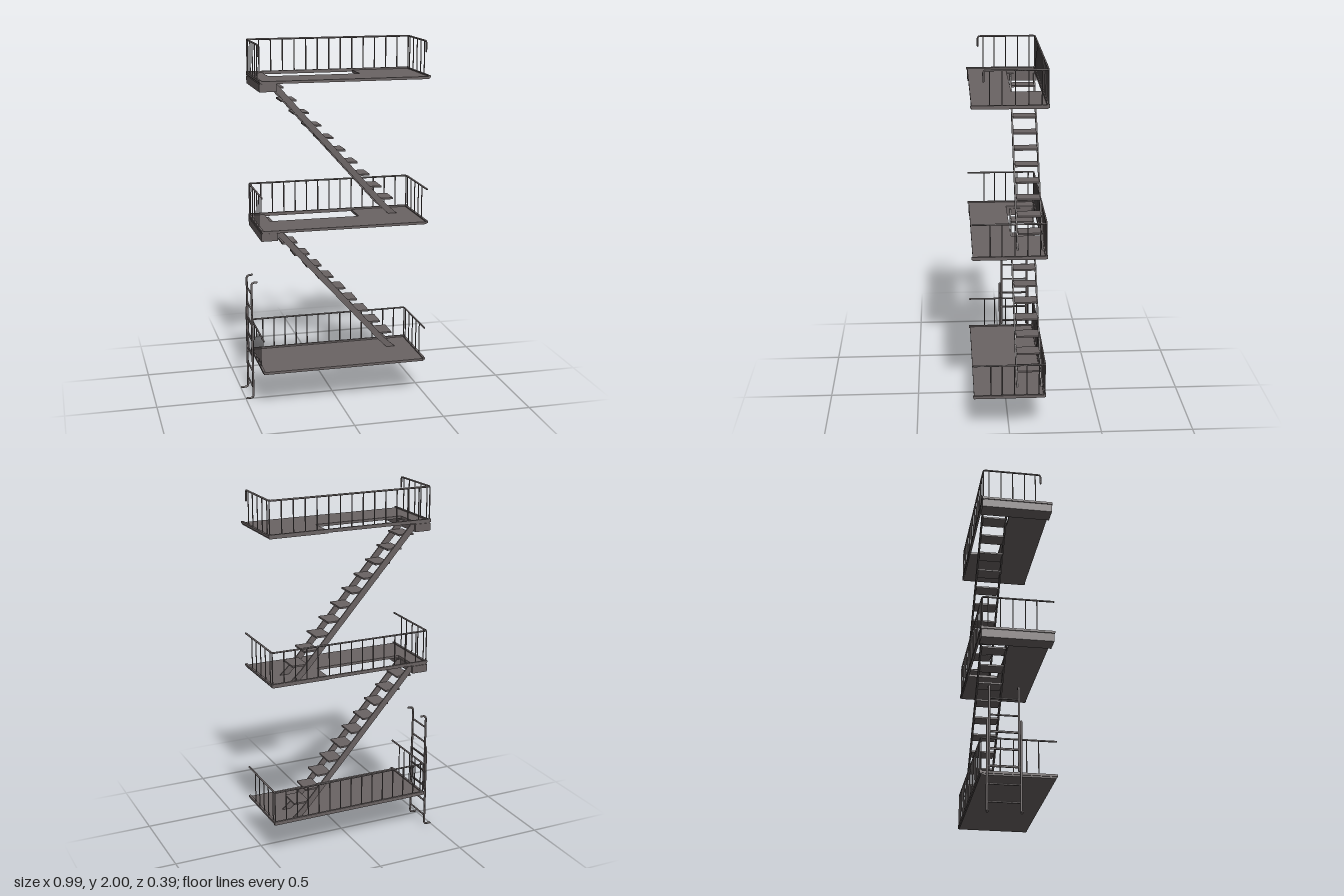
import * as THREE from 'three';

const metal = new THREE.MeshStandardMaterial({ color: 0x6a6363 });
const X0 = -0.428, X1 = 0.485, ZB = -0.19, ZF = 0.19;
const LEVELS = [0.21, 1.005, 1.8];
const V = (x, y, z) => new THREE.Vector3(x, y, z);

function add(parent, name, geometry, x = 0, y = 0, z = 0) {
  const mesh = new THREE.Mesh(geometry, metal);
  mesh.name = name;
  mesh.position.set(x, y, z);
  parent.add(mesh);
  return mesh;
}

// Straight round bar between two points
function bar(parent, name, a, b, r) {
  const mesh = add(parent, name, new THREE.CylinderGeometry(r, r, a.distanceTo(b), 8));
  mesh.position.copy(a).lerp(b, 0.5);
  mesh.quaternion.setFromUnitVectors(V(0, 1, 0), b.clone().sub(a).normalize());
}

// Bent round bar with rounded corners
function bentBar(parent, name, points, r, bend) {
  const path = new THREE.CurvePath();
  let from = points[0];
  for (let i = 1; i < points.length - 1; i++) {
    const p = points[i];
    const a = p.clone().add(points[i - 1].clone().sub(p).setLength(bend));
    const b = p.clone().add(points[i + 1].clone().sub(p).setLength(bend));
    path.add(new THREE.LineCurve3(from, a));
    path.add(new THREE.QuadraticBezierCurve3(a, p, b));
    from = b;
  }
  path.add(new THREE.LineCurve3(from, points[points.length - 1]));
  add(parent, name, new THREE.TubeGeometry(path, 150, r, 8));
  // Closed ends
  for (const p of [points[0], points[points.length - 1]]) {
    add(parent, name + 'End', new THREE.SphereGeometry(r, 8, 6), p.x, p.y, p.z);
  }
}

function extrude(points, depth) {
  const shape = new THREE.Shape(points.map(([x, y]) => new THREE.Vector2(x, y)));
  return new THREE.ExtrudeGeometry(shape, { depth, bevelEnabled: false });
}

// Floor slab, with a stairwell notch at the back on the upper levels
function floor(parent, open) {
  const notch = open ? [[0.16, -ZB], [0.16, 0.025], [-0.345, 0.025], [-0.345, -ZB]] : [];
  const outline = [[X0, -ZB], [X0, -ZF], [X1, -ZF], [X1, -ZB], ...notch];
  add(parent, 'floor', extrude(outline, 0.014).rotateX(-Math.PI / 2));
  if (open) add(parent, 'headBeam', new THREE.BoxGeometry(0.09, 0.042, 0.385), -0.388, -0.02, -0.002);
}

// Railing on the back and both ends; the front is open
function railing(parent, hooked) {
  const top = 0.195, foot = 0.014;
  const end = hooked ? 0.13 : ZF;
  const rail = [V(X0, top, end), V(X0, top, ZB), V(X1, top, ZB), V(X1, top, end)];
  if (hooked) {
    rail.unshift(V(X0, 0.14, end));
    rail.push(V(X1, 0.14, end));
  }
  bentBar(parent, 'handrail', rail, 0.005, 0.012);

  // Curb bars along the floor edge
  const midX = (X0 + X1) / 2;
  add(parent, 'backCurb', new THREE.BoxGeometry(X1 - X0 + 0.012, 0.018, 0.012), midX, foot, ZB);
  for (const x of [X0, X1]) {
    add(parent, 'endCurb', new THREE.BoxGeometry(0.012, 0.012, 0.385), x, foot, 0.003);
    for (let i = 1; i <= 4; i++) {
      const z = ZB - 0.035 + i * 0.066;
      bar(parent, 'endPost', V(x, foot, z), V(x, top, z), 0.003);
    }
    bar(parent, 'endPost', V(x, foot, 0.1), V(x, top, 0.1), 0.003);
  }
  for (let i = 0; i <= 14; i++) {
    const x = X0 + (X1 - X0) * i / 14;
    bar(parent, 'backPost', V(x, foot, ZB), V(x, top, ZB), 0.0035);
  }
}

// Open stair flight rising to the given level
function stairs(parent) {
  const side = [[-0.35, 0], [-0.322, 0], [0.32, -0.722], [0.385, -0.781], [0.335, -0.781], [0.285, -0.732], [-0.35, -0.02]];
  for (const z of [-0.052, -0.184]) add(parent, 'stringer', extrude(side, 0.008), 0, 0, z);
  for (let i = 0; i < 10; i++) {
    add(parent, 'tread', new THREE.BoxGeometry(0.086, 0.009, 0.126), -0.298 + i * 0.069, -0.054 - i * 0.0715, -0.114);
  }
}

// Two overlapping ladder sections, hooked at the foot and the head
function ladder() {
  const g = new THREE.Group();
  g.name = 'ladder';
  for (const z of [0.007, -0.163]) {
    bentBar(g, 'lowerSideRail', [V(-0.494, 0.008, z), V(-0.458, 0.008, z), V(-0.46, 0.49, z)], 0.006, 0.018);
  }
  for (const z of [-0.003, -0.154]) {
    bentBar(g, 'upperSideRail', [V(-0.455, 0.23, z), V(-0.458, 0.68, z), V(-0.428, 0.682, z)], 0.006, 0.018);
  }
  for (let i = 0; i < 7; i++) {
    const y = 0.065 + i * 0.091;
    bar(g, 'rung', V(-0.456, y, 0.007 - (i > 4) * 0.01), V(-0.456, y, -0.163 + (i > 4) * 0.009), 0.005);
  }
  for (let i = 2; i < 5; i++) {
    const y = 0.07 + i * 0.091;
    bar(g, 'upperRung', V(-0.454, y, -0.003), V(-0.454, y, -0.154), 0.004);
  }
  return g;
}

export function createModel() {
  const model = new THREE.Group();
  model.name = 'fireEscape';
  LEVELS.forEach((y, i) => {
    const landing = new THREE.Group();
    landing.name = ['lowerLanding', 'middleLanding', 'upperLanding'][i];
    landing.position.y = y;
    floor(landing, i > 0);
    railing(landing, i === 2);
    if (i > 0) stairs(landing);
    model.add(landing);
  });
  model.add(ladder());
  return model;
}
